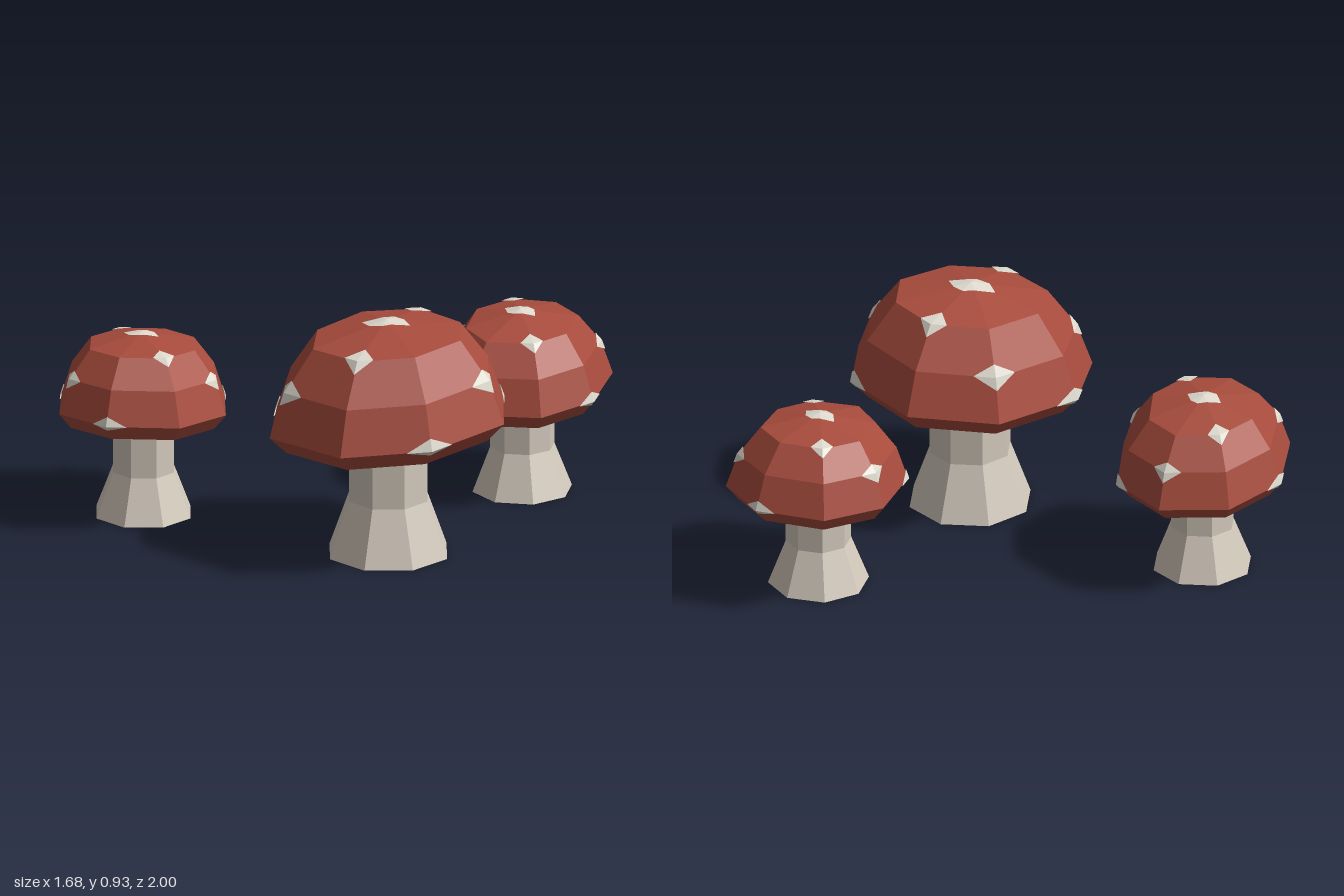
import * as THREE from 'three';

const capRed = new THREE.MeshStandardMaterial({ color: 0xa84c3d });
capRed.name = 'cap red';
const stemCream = new THREE.MeshStandardMaterial({ color: 0xd4cabd, side: THREE.DoubleSide });
stemCream.name = 'stem cream';
const spotWhite = new THREE.MeshStandardMaterial({ color: 0xdedacf, side: THREE.DoubleSide });
spotWhite.name = 'spot white';
for (const m of [capRed, stemCream, spotWhite]) m.flatShading = true;

const SIDES = 8;

// Flat-faced mesh from a list of triangle corners
function facetMesh(points, material, name) {
  const geo = new THREE.BufferGeometry().setFromPoints(points);
  geo.computeVertexNormals();
  const mesh = new THREE.Mesh(geo, material);
  mesh.name = name;
  return mesh;
}

// Triangles joining successive rings of corners
function skin(rings) {
  const out = [];
  for (let k = 0; k < rings.length - 1; k++) {
    for (let i = 0; i < SIDES; i++) {
      const j = (i + 1) % SIDES;
      const a = rings[k][i], b = rings[k][j], c = rings[k + 1][j], d = rings[k + 1][i];
      out.push(a, d, c, a, c, b);
    }
  }
  return out;
}

function makeMushroom(o) {
  const group = new THREE.Group();
  group.name = o.name;
  const [cx, cz] = o.center;
  const tilt = (x, y, z) => new THREE.Vector3(x, y + x * o.tilt[0] + z * o.tilt[1], z);

  // Cap rings: bottom edge, rim, shoulder, crown, all scaled from the uneven rim outline
  const scales = [0.86, 1, 0.87, 0.63];
  const rings = scales.map((s, k) => o.rim.map(([x, z]) => tilt(x * s, o.heights[k], z * s)));
  const apex = tilt(0, o.heights[4], 0);
  const capPoints = skin(rings);
  const crown = rings[3];
  for (let i = 0; i < SIDES; i++) capPoints.push(crown[(i + 1) % SIDES], crown[i], apex);
  group.add(facetMesh(capPoints, capRed, 'cap'));

  // Hollowed underside
  const inner = o.rim.map(([x, z]) => tilt(x * 0.3, o.heights[0] + 0.035, z * 0.3));
  group.add(facetMesh(skin([inner, rings[0]]), stemCream, 'underside'));

  // Stem: flared foot, straight shaft, open at the ground
  const stemRing = (r, y) => Array.from({ length: SIDES }, (_, i) => {
    const a = o.turn + (i / SIDES) * Math.PI * 2;
    return new THREE.Vector3(Math.cos(a) * r + 0.01, y, Math.sin(a) * r);
  });
  const [footR, shaftR, bendY] = o.stem;
  const stem = skin([stemRing(footR, 0), stemRing(shaftR, bendY), stemRing(shaftR, o.heights[0] + 0.05)]);
  group.add(facetMesh(stem, stemCream, 'stem'));

  // Spots: thin diamonds folded over the cap's corners
  const core = new THREE.Vector3(0, o.heights[1], 0);
  const spotPoints = [];
  const addSpot = (v, corners) => {
    const lift = v.clone().sub(core).normalize().multiplyScalar(0.005);
    const mid = v.clone().add(lift);
    const pts = corners.map((c) => c.clone().add(lift));
    pts.forEach((p, i) => spotPoints.push(mid, p, pts[(i + 1) % pts.length]));
  };
  o.spots.forEach((list, n) => {
    const k = n + 1;
    for (const i of list) {
      const v = rings[k][i];
      const up = k === 3 ? apex : rings[k + 1][i];
      const near = [up, rings[k][(i + 1) % SIDES], rings[k - 1][i], rings[k][(i + SIDES - 1) % SIDES]];
      addSpot(v, near.map((p) => v.clone().lerp(p, 0.28)));
    }
  });
  const apexReach = [0.15, 0.17, 0.24, 0.36, 0.19, 0.22, 0.24, 0.32];
  addSpot(apex, crown.map((p, i) => apex.clone().lerp(p, apexReach[i])).reverse());
  group.add(facetMesh(spotPoints, spotWhite, 'spots'));

  group.position.set(cx, 0, cz);
  return group;
}

export function createModel() {
  const model = new THREE.Group();
  model.name = 'mushrooms';

  model.add(makeMushroom({
    name: 'largeMushroom', center: [0.42, 0.19], tilt: [0.01, -0.055], turn: 0.26,
    rim: [[0.42, 0.11], [0.23, 0.40], [-0.13, 0.46], [-0.37, 0.24],
      [-0.42, -0.14], [-0.21, -0.42], [0.14, -0.45], [0.39, -0.26]],
    heights: [0.47, 0.54, 0.71, 0.865, 0.925],
    stem: [0.24, 0.16, 0.22],
    spots: [[0, 3, 6], [2, 4, 7], [1, 5]],
  }));

  model.add(makeMushroom({
    name: 'frontMushroom', center: [-0.5, 0.65], tilt: [0.04, 0.06], turn: 0.26,
    rim: [[0.35, 0.09], [0.18, 0.31], [-0.06, 0.35], [-0.29, 0.16],
      [-0.34, -0.10], [-0.19, -0.32], [0.06, -0.35], [0.30, -0.17]],
    heights: [0.37, 0.43, 0.565, 0.675, 0.72],
    stem: [0.193, 0.125, 0.175],
    spots: [[1, 3, 6], [2, 5, 7], [0, 4]],
  }));

  model.add(makeMushroom({
    name: 'backMushroom', center: [0.165, -0.65], tilt: [-0.04, -0.05], turn: 0.44,
    rim: [[0.32, 0.15], [0.115, 0.35], [-0.135, 0.31], [-0.325, 0.08],
      [-0.315, -0.18], [-0.105, -0.35], [0.145, -0.33], [0.32, -0.10]],
    heights: [0.36, 0.42, 0.555, 0.665, 0.715],
    stem: [0.193, 0.125, 0.175],
    spots: [[2, 5, 7], [1, 3, 6], [0, 4]],
  }));

  return model;
}
